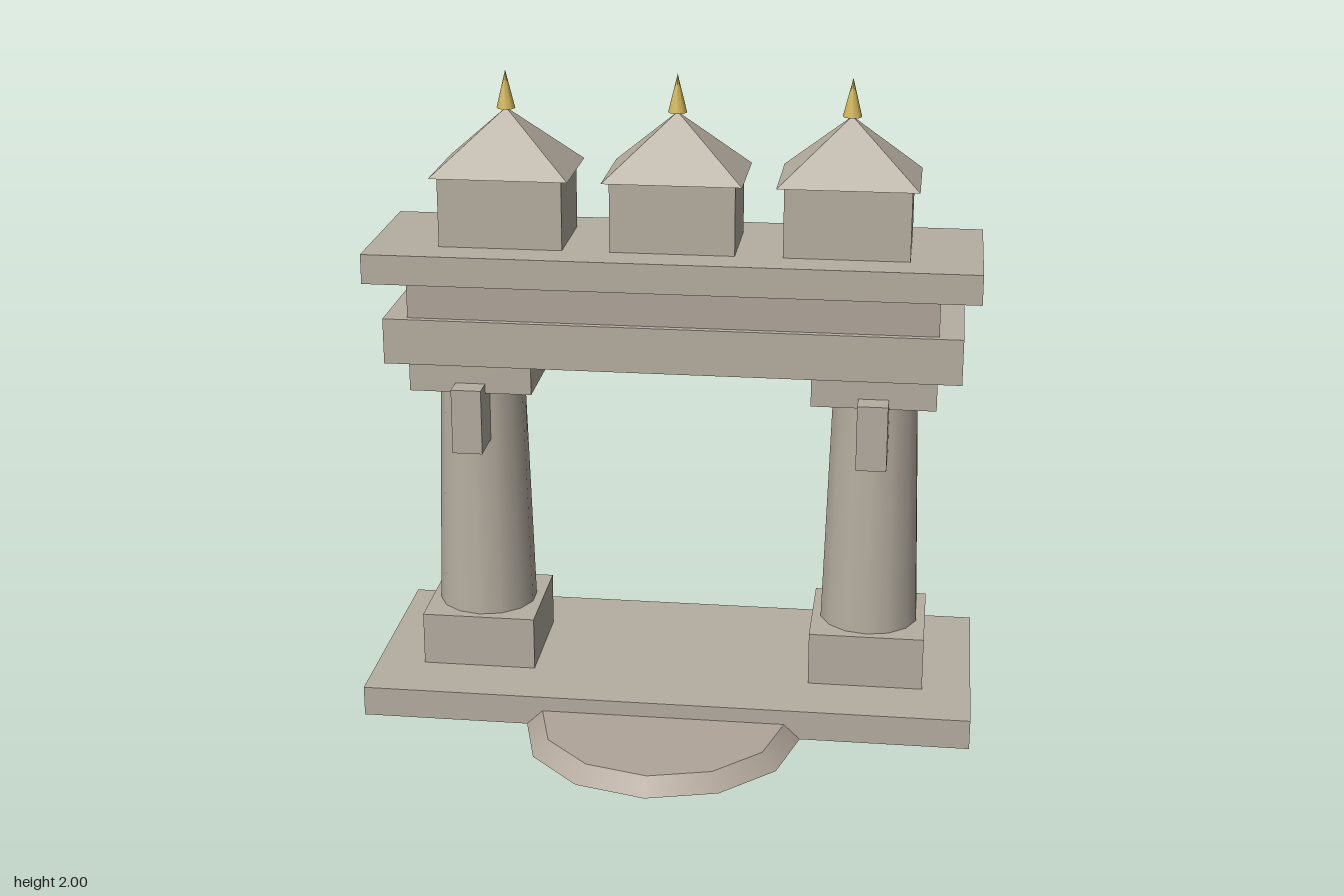
import * as THREE from 'three';

const stone = new THREE.MeshStandardMaterial({ color: 0xb5ada0 });
const warmStone = new THREE.MeshStandardMaterial({ color: 0xb0a59a });
const roofStone = new THREE.MeshStandardMaterial({ color: 0xb5ada0, flatShading: true });
const gold = new THREE.MeshStandardMaterial({ color: 0xd0b658 });

const AXIS_Z = -0.215; // depth line shared by the whole gateway

export function createModel() {
  const group = new THREE.Group();

  function add(name, geometry, x, y, z, material = stone) {
    const mesh = new THREE.Mesh(geometry, material);
    mesh.name = name;
    mesh.position.set(x, y, z);
    group.add(mesh);
    return mesh;
  }

  // Box given by its centre x, bottom, top, width and depth
  function block(name, x, y0, y1, width, depth, z = AXIS_Z, material = stone) {
    return add(name, new THREE.BoxGeometry(width, y1 - y0, depth), x, (y0 + y1) / 2, z, material);
  }

  // Base slab and the round step in front of it
  block('baseSlab', 0, 0, 0.095, 1.904, 0.764);
  add('frontStep', new THREE.CylinderGeometry(0.38, 0.43, 0.048, 12), 0, 0.024, 0.165, warmStone);

  // Pillars
  for (const [side, x] of [['left', 0.62], ['right', -0.62]]) {
    block(side + 'Plinth', x, 0.095, 0.265, 0.36, 0.36);
    add(side + 'Column', new THREE.CylinderGeometry(0.133, 0.156, 0.765, 14), x, 0.6475, AXIS_Z);
    block(side + 'Capital', x, 1.03, 1.122, 0.38, 0.385);
    block(side + 'Bracket', x, 0.855, 1.06, 0.093, 0.17, -0.037);
  }

  // Stacked beams
  block('lowerBeam', 0, 1.122, 1.265, 1.766, 0.428);
  block('frieze', 0, 1.265, 1.388, 1.62, 0.385, AXIS_Z, warmStone);
  block('cornice', 0, 1.388, 1.48, 1.862, 0.523);

  // Small roofed towers with gilded finials
  for (const [side, x] of [['right', -0.525], ['middle', 0], ['left', 0.525]]) {
    block(side + 'Tower', x, 1.48, 1.695, 0.38, 0.29);
    const roof = new THREE.ConeGeometry(Math.SQRT2, 0.19, 4);
    roof.rotateY(Math.PI / 4);
    roof.scale(0.212, 1, 0.165);
    add(side + 'Roof', roof, x, 1.79, AXIS_Z, roofStone);
    add(side + 'Finial', new THREE.ConeGeometry(0.029, 0.117, 8), x, 1.9415, AXIS_Z, gold);
  }

  return group;
}
